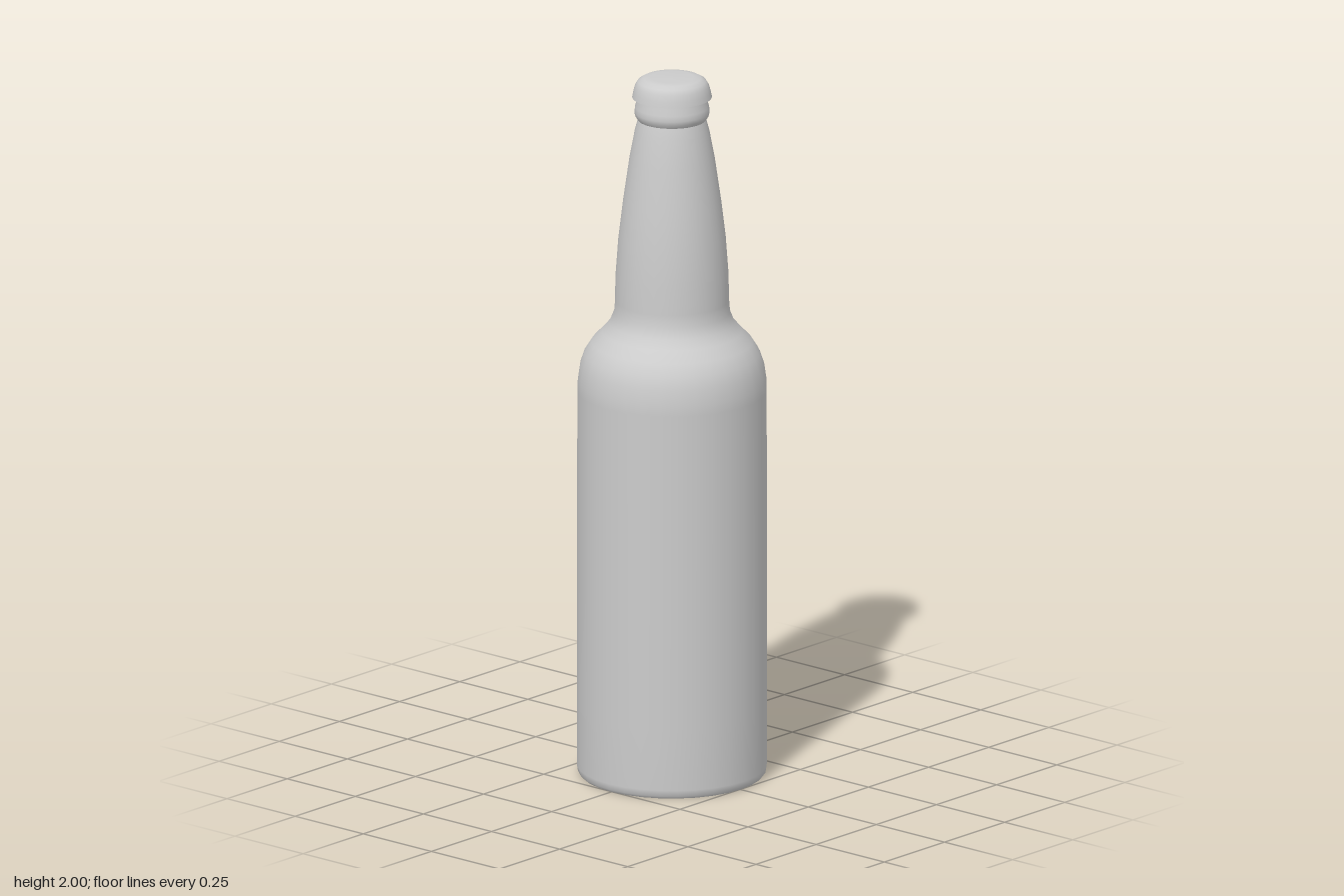
import * as THREE from 'three';

const SIDES = 32;
const material = new THREE.MeshStandardMaterial({ color: 0xcccccc });

// Turns a list of [radius, height], running from the bottom up, into a mesh
function turned(name, profile) {
  const points = profile.map(([r, y]) => new THREE.Vector2(r, y));
  const mesh = new THREE.Mesh(new THREE.LatheGeometry(points, SIDES), material);
  mesh.name = name;
  return mesh;
}

export function createModel() {
  const bottle = new THREE.Group();
  bottle.name = 'bottle';

  // Flat underside, kept apart so its rim stays crisp
  bottle.add(turned('base', [[0, 0], [0.252, 0]]));

  // Straight body with a small rounded foot
  bottle.add(turned('body', [
    [0.252, 0], [0.259, 0.008], [0.262, 0.025], [0.262, 0.2], [0.261, 1.1],
    // shoulder
    [0.26, 1.13], [0.254, 1.172], [0.242, 1.208], [0.222, 1.24], [0.193, 1.27],
    [0.172, 1.295], [0.16, 1.325],
    // tapering neck
    [0.157, 1.36], [0.156, 1.43], [0.148, 1.54], [0.136, 1.64], [0.118, 1.765],
    [0.103, 1.845], [0.094, 1.878],
  ]));

  // Bulging ring and lip below the cap
  bottle.add(turned('neckRing', [
    [0.094, 1.878], [0.101, 1.888], [0.104, 1.9], [0.102, 1.915],
    [0.097, 1.932], [0.094, 1.95],
  ]));

  // Cap: underside, flared skirt and softly domed top
  const cap = new THREE.Group();
  cap.name = 'cap';
  cap.add(turned('capUnderside', [[0.09, 1.946], [0.11, 1.942]]));
  cap.add(turned('capTop', [
    [0.11, 1.942], [0.107, 1.957], [0.102, 1.975], [0.094, 1.988],
    [0.08, 1.996], [0.06, 1.999], [0, 2],
  ]));
  bottle.add(cap);

  return bottle;
}
